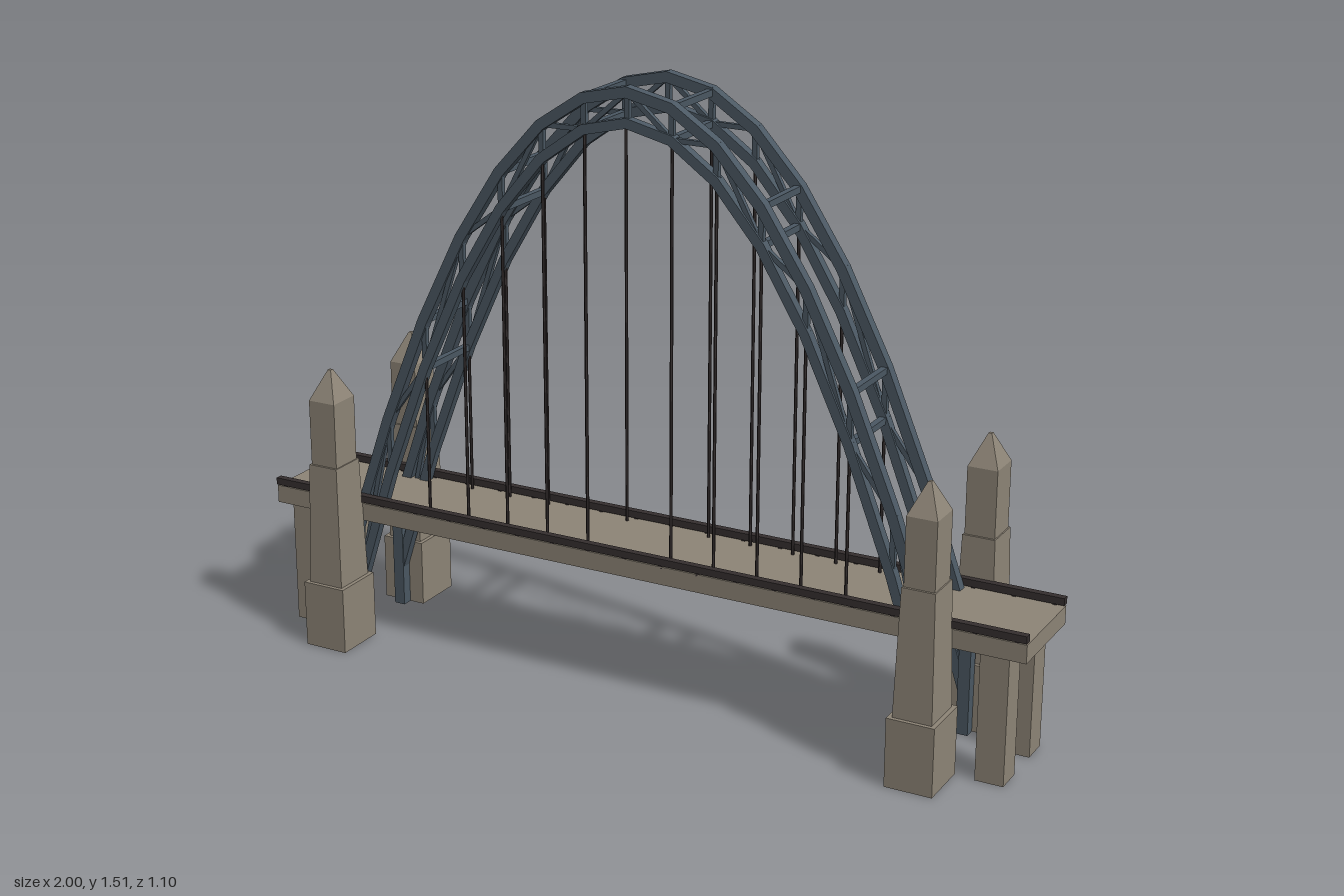
import * as THREE from 'three';

const mat = (name, color, extra = {}) => {
  const m = new THREE.MeshStandardMaterial({ color, ...extra });
  m.name = name;
  return m;
};

export function createModel() {
  const stone = mat('stone', 0x8e8577, { flatShading: true, side: THREE.DoubleSide });
  const steel = mat('blue grey steel', 0x4b5863, { flatShading: true });
  const iron = mat('dark iron', 0x352f2f, { flatShading: true });

  const model = new THREE.Group();
  model.name = 'archBridge';
  const bridge = new THREE.Group();
  bridge.name = 'bridge';
  bridge.rotation.y = 0.386; // the bridge stands at a slant to the frame
  model.add(bridge);

  const add = (parent, name, geo, material, x = 0, y = 0, z = 0) => {
    const mesh = new THREE.Mesh(geo, material);
    mesh.name = name;
    mesh.position.set(x, y, z);
    parent.add(mesh);
    return mesh;
  };

  // square bar between two points
  const bar = (parent, name, a, b, w, material, extra = 0) => {
    const dir = b.clone().sub(a);
    const len = dir.length();
    const mesh = add(parent, name, new THREE.BoxGeometry(w, len + extra, w), material);
    mesh.position.copy(a).add(b).multiplyScalar(0.5);
    mesh.quaternion.setFromUnitVectors(new THREE.Vector3(0, 1, 0), dir.normalize());
    return mesh;
  };

  // block from y0 to y1 whose top is scaled by taper, optionally hollow from below
  const block = (w, d, y0, y1, taper = 1, open = false) => {
    const geo = new THREE.BoxGeometry(w, y1 - y0, d);
    geo.translate(0, (y0 + y1) / 2, 0);
    const p = geo.attributes.position;
    const mid = (y0 + y1) / 2;
    for (let i = 0; i < p.count; i++) {
      if (p.getY(i) > mid) p.setXYZ(i, p.getX(i) * taper, p.getY(i), p.getZ(i) * taper);
    }
    if (open) {
      const idx = Array.from(geo.index.array);
      idx.splice(18, 6); // drop the bottom face
      geo.setIndex(idx);
      geo.clearGroups();
    }
    return geo;
  };

  // roadway
  add(bridge, 'deck', new THREE.BoxGeometry(2.05, 0.046, 0.25), stone, 0, 0.341, 0);

  // railings on short posts
  for (const side of [-1, 1]) {
    const z = side * 0.12;
    add(bridge, 'railing', new THREE.BoxGeometry(2.05, 0.018, 0.018), iron, 0, 0.377, z);
    for (let i = -10; i <= 10; i++) {
      add(bridge, 'railingPost', new THREE.BoxGeometry(0.01, 0.012, 0.01), iron, i * 0.1, 0.365, z);
    }
  }

  // four obelisk towers and the four piers below the deck ends
  for (const sx of [-1, 1]) {
    for (const sz of [-1, 1]) {
      const tower = new THREE.Group();
      tower.name = 'tower';
      tower.position.set(sx * 0.803, 0, sz * 0.178);
      bridge.add(tower);
      add(tower, 'towerBase', block(0.118, 0.136, 0, 0.172, 1, true), stone);
      add(tower, 'towerShaft', block(0.097, 0.116, 0.172, 0.487, 0.84), stone);
      add(tower, 'towerTop', block(0.075, 0.086, 0.487, 0.655), stone);
      const cap = new THREE.CylinderGeometry(0.08, Math.SQRT1_2, 0.075, 4);
      cap.rotateY(Math.PI / 4);
      cap.scale(0.075, 1, 0.086);
      add(tower, 'towerCap', cap, stone, 0, 0.6925, 0);

      add(bridge, 'pier', block(0.07, 0.07, 0, 0.325, 1, true), stone, sx * 0.948, 0, sz * 0.083);
    }
  }

  // parabolic trussed arches
  const half = 0.8;
  const bays = 14;
  const step = (2 * half) / bays;
  const archZ = 0.097;
  const chord = (peak, foot) => (i, z) => {
    const u = -half + i * step;
    return new THREE.Vector3(u, peak - (peak - foot) * (u / half) ** 2, z);
  };
  const outer = chord(1.497, 0.27);
  const inner = chord(1.425, 0.1);

  for (const side of [-1, 1]) {
    const z = side * archZ;
    const arch = new THREE.Group();
    arch.name = 'arch';
    bridge.add(arch);
    for (let i = 0; i < bays; i++) {
      bar(arch, 'outerChord', outer(i, z), outer(i + 1, z), 0.026, steel, 0.005);
      bar(arch, 'innerChord', inner(i, z), inner(i + 1, z), 0.024, steel, 0.005);
      const up = i % 2 === 0;
      bar(arch, 'diagonal', (up ? inner : outer)(i, z), (up ? outer : inner)(i + 1, z), 0.012, steel);
    }
    for (let i = 1; i < bays; i++) {
      bar(arch, 'strut', inner(i, z), outer(i, z), 0.013, steel);
    }
    // upright legs at the arch feet
    for (const sx of [-1, 1]) {
      add(arch, 'archLeg', new THREE.BoxGeometry(0.03, 0.28, 0.03), steel, sx * half, 0.14, z);
    }
    // hangers from the arch to the deck
    for (let k = -5; k <= 5; k++) {
      if (k === 0) continue;
      const top = inner(k + bays / 2, z);
      const len = top.y - 0.36;
      add(arch, 'hanger', new THREE.CylinderGeometry(0.004, 0.004, len, 6), iron, top.x, 0.36 + len / 2, z);
    }
  }

  // cross ties between the two arches
  for (let i = 2; i <= 12; i += 2) {
    for (const at of [outer, inner]) {
      bar(bridge, 'crossTie', at(i, -archZ), at(i, archZ), 0.016, steel);
    }
  }

  return model;
}
